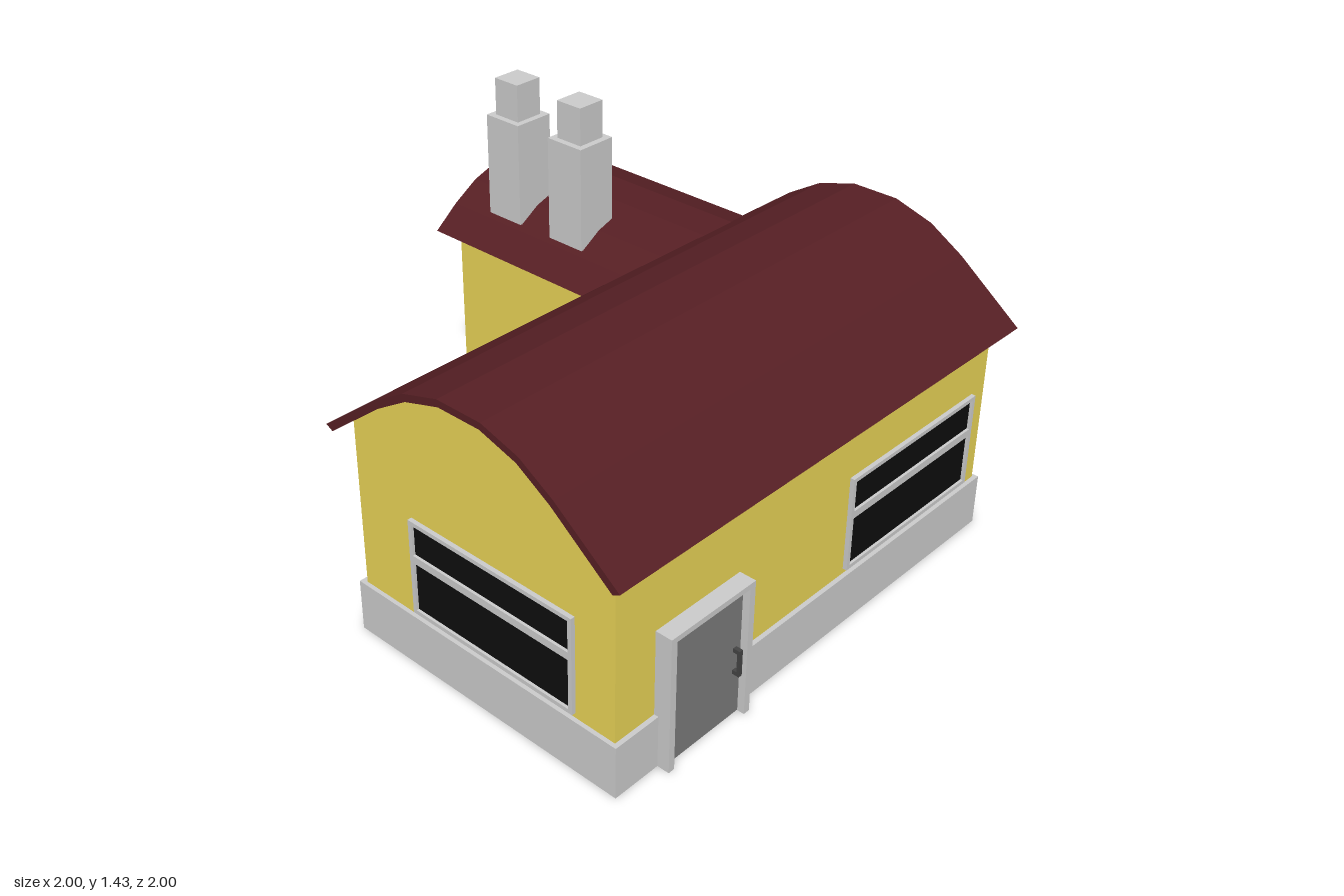
import * as THREE from 'three';

const mat = (color, extra = {}) => new THREE.MeshStandardMaterial({ color, flatShading: true, ...extra });
const GREY = mat(0xcccccc), WALL = mat(0xe8d356), ROOF = mat(0x561f24);
const GLASS = mat(0x0d0d0d), DOOR = mat(0x7a7a7a), DARK = mat(0x444444);

function add(parent, name, geometry, material) {
  const mesh = new THREE.Mesh(geometry, material);
  mesh.name = name;
  parent.add(mesh);
  return mesh;
}

// box given by its minimum and maximum corners
function box(parent, name, material, a, b) {
  const size = a.map((v, i) => b[i] - v);
  const mesh = add(parent, name, new THREE.BoxGeometry(...size), material);
  mesh.position.set(...a.map((v, i) => (v + b[i]) / 2));
  return mesh;
}

const shapeOf = pts => new THREE.Shape(pts.map(p => new THREE.Vector2(...p)));
const extrude = (shape, depth) => new THREE.ExtrudeGeometry(shape, { depth, bevelEnabled: false });
const mirror = half => [...half, ...half.map(([u, y]) => [-u, y]).reverse()];

// half profiles of the barrel roofs, from eave to crown
const MAIN = {
  top: [[0.62, 0.805], [0.372, 0.995], [0.24, 1.075], [0.09, 1.12]],
  under: [[0.592, 0.79], [0.357, 0.973], [0.23, 1.051], [0.085, 1.095]],
};
const WING = {
  top: [[0.43, 0.805], [0.33, 0.885], [0.225, 0.95], [0.075, 1.0]],
  under: [[0.41, 0.79], [0.314, 0.867], [0.215, 0.928], [0.07, 0.976]],
};

function roofGeometry(p, depth) {
  return extrude(shapeOf([...mirror(p.top), ...mirror(p.under).reverse()]), depth);
}

// gabled wall block whose top follows the underside of the roof
function wallGeometry(p, halfWidth, depth) {
  const [[u0, y0], [u1, y1]] = p.under;
  const eave = y0 + (y1 - y0) * (u0 - halfWidth) / (u0 - u1);
  const half = [[halfWidth, 0.19], [halfWidth, eave], ...p.under.slice(1)];
  return extrude(shapeOf(mirror(half)), depth);
}

// window in the xy plane facing +z, standing on the wall at z = 0
function makeWindow(name, x, z, angle) {
  const g = new THREE.Group();
  g.name = name;
  const w = 0.35, h = 0.18, b = 0.015;
  const frame = shapeOf([[-w, -h], [w, -h], [w, h], [-w, h]]);
  for (const [lo, hi] of [[-h + b, 0.022], [0.05, h - b]]) {
    frame.holes.push(new THREE.Path([[-w + b, lo], [-w + b, hi], [w - b, hi], [w - b, lo]]
      .map(p => new THREE.Vector2(...p))));
  }
  add(g, 'windowFrame', extrude(frame, 0.016), GREY);
  box(g, 'windowGlass', GLASS, [-w + 0.01, -h + 0.01, -0.01], [w - 0.01, h - 0.01, 0.006]);
  g.position.set(x, 0.395, z);
  g.rotation.y = angle;
  return g;
}

function makeDoor() {
  const g = new THREE.Group();
  g.name = 'door';
  const frame = shapeOf([[-0.19, 0], [-0.165, 0], [-0.165, 0.49], [0.165, 0.49],
    [0.165, 0], [0.19, 0], [0.19, 0.51], [-0.19, 0.51]]);
  add(g, 'doorFrame', extrude(frame, 0.065), GREY);
  box(g, 'doorPanel', DOOR, [-0.167, 0.002, 0], [0.167, 0.492, 0.038]);
  // bow handle with two mounts
  box(g, 'handleBar', DARK, [0.13, 0.17, 0.054], [0.145, 0.27, 0.064]);
  for (const y of [0.17, 0.255]) box(g, 'handleMount', DARK, [0.13, y, 0.035], [0.145, y + 0.015, 0.056]);
  g.position.set(0.925, 0, 0.585);
  g.rotation.y = Math.PI / 2;
  return g;
}

export function createModel() {
  const house = new THREE.Group();
  house.name = 'house';

  // L-shaped plinth (drawn in x and -z, then laid flat)
  const plan = shapeOf([[-0.2, -0.96], [0.945, -0.96], [0.945, 0.945], [-0.96, 0.945], [-0.96, 0.195], [-0.2, 0.195]]);
  add(house, 'plinth', extrude(plan, 0.195).rotateX(-Math.PI / 2), GREY);

  // main hall, running front to back
  add(house, 'mainWalls', wallGeometry(MAIN, 0.553, 1.875), WALL).position.set(0.375, 0, -0.93);
  add(house, 'mainRoof', roofGeometry(MAIN, 1.99), ROOF).position.set(0.375, 0, -0.99);

  // side wing, running left to right
  const wingWalls = wallGeometry(WING, 0.36, 0.765).rotateY(Math.PI / 2);
  add(house, 'wingWalls', wingWalls, WALL).position.set(-0.945, 0, -0.57);

  // wing roof, its inner end mitred against the slope of the main roof
  const wingRoof = roofGeometry(WING, 1).rotateY(Math.PI / 2).translate(-1, 0, -0.57);
  const pos = wingRoof.attributes.position;
  for (let i = 0; i < pos.count; i++) {
    if (pos.getX(i) > -0.5) pos.setX(i, -0.24 + (pos.getY(i) - 0.805) * 1.305);
  }
  wingRoof.computeVertexNormals();
  add(house, 'wingRoof', wingRoof, ROOF);

  // chimneys
  for (const x of [-0.745, -0.435]) {
    const chimney = new THREE.Group();
    chimney.name = 'chimney';
    box(chimney, 'chimneyStack', GREY, [-0.08, 0.9, -0.08], [0.08, 1.29, 0.08]);
    box(chimney, 'chimneyTop', GREY, [-0.056, 1.28, -0.056], [0.056, 1.43, 0.056]);
    chimney.position.set(x, 0, -0.335);
    house.add(chimney);
  }

  // openings
  house.add(
    makeWindow('frontWindow', 0.42, 0.945, 0),
    makeWindow('leftWindow', 0.928, -0.505, Math.PI / 2),
    makeWindow('backWindow', 0.355, -0.93, Math.PI),
    makeWindow('courtyardWindow', -0.178, 0.4, -Math.PI / 2),
    makeDoor(),
  );
  return house;
}
